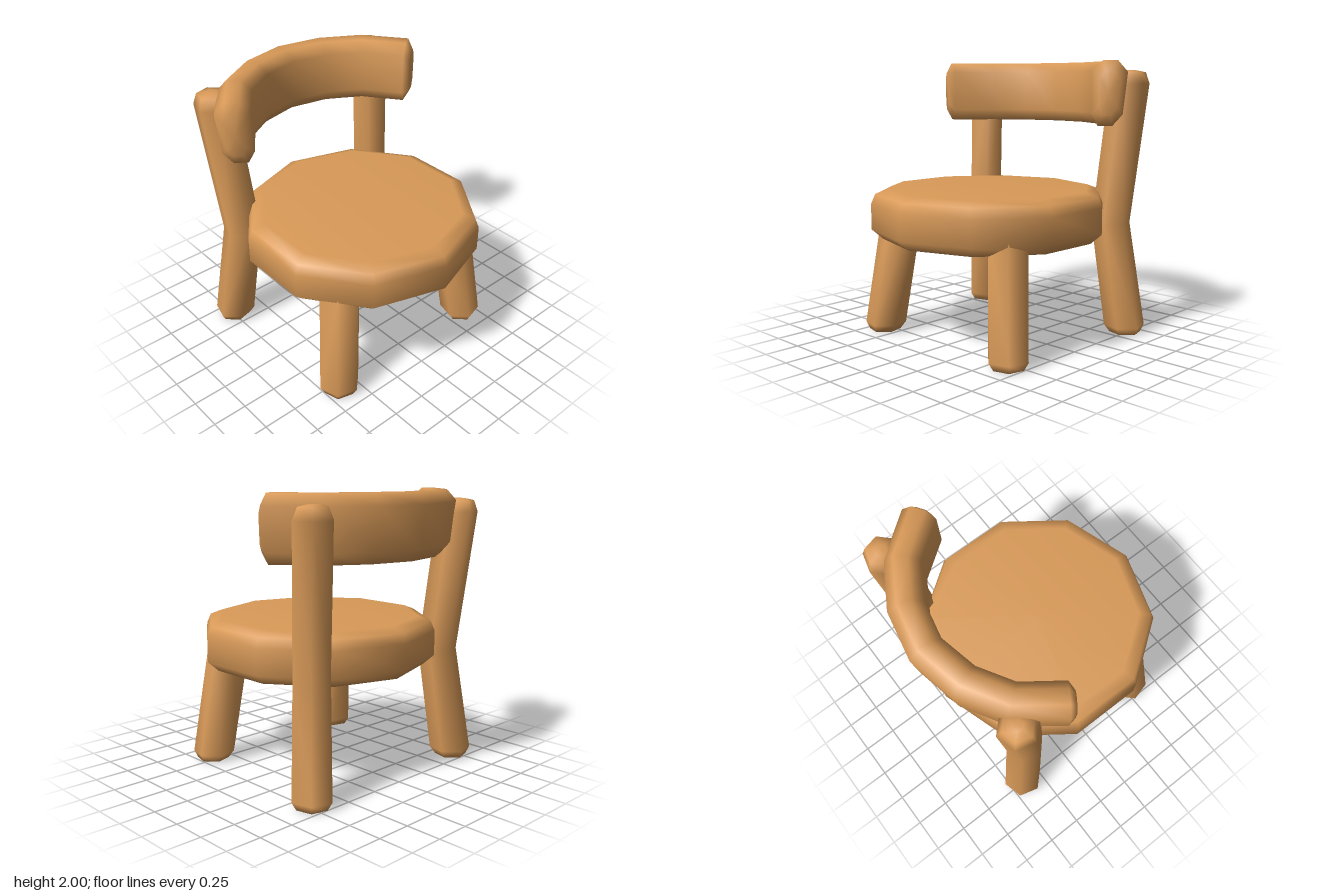
import * as THREE from 'three';

// Joins closed cross-sections into a capped, smooth-shaded solid
function loft(rings) {
  const n = rings[0].length;
  const pts = rings.flat();
  const index = [];
  for (let r = 0; r < rings.length - 1; r++) {
    for (let i = 0; i < n; i++) {
      const a = r * n + i, b = r * n + (i + 1) % n;
      index.push(a, b, b + n, a, b + n, a + n);
    }
  }
  const cap = (ring, start, flip) => {
    const c = pts.length;
    pts.push(ring.reduce((s, p) => s.add(p), new THREE.Vector3()).divideScalar(n));
    for (let i = 0; i < n; i++) {
      const a = start + i, b = start + (i + 1) % n;
      index.push(c, flip ? b : a, flip ? a : b);
    }
  };
  cap(rings[0], 0, true);
  cap(rings[rings.length - 1], (rings.length - 1) * n, false);

  // Turn the faces outward if the enclosed volume is negative
  let volume = 0;
  for (let i = 0; i < index.length; i += 3) {
    const [a, b, c] = [pts[index[i]], pts[index[i + 1]], pts[index[i + 2]]];
    volume += a.dot(b.clone().cross(c));
  }
  if (volume < 0) index.reverse();

  const geometry = new THREE.BufferGeometry().setFromPoints(pts);
  geometry.setIndex(index);
  geometry.computeVertexNormals();
  return geometry;
}

// Horizontal regular polygon; phase is measured from +x towards +z
function polygon(sides, radius, x, y, z, phase) {
  return Array.from({ length: sides }, (_, i) => {
    const a = phase + i / sides * Math.PI * 2;
    return new THREE.Vector3(x + radius * Math.cos(a), y, z + radius * Math.sin(a));
  });
}

export function createModel() {
  const wood = new THREE.MeshStandardMaterial({ color: 0xd99a58 });
  wood.name = 'warm wood';
  const group = new THREE.Group();
  group.name = 'chair';
  const add = (name, rings) => {
    const mesh = new THREE.Mesh(loft(rings), wood);
    mesh.name = name;
    group.add(mesh);
  };

  // Ten-sided seat with softened rims: [radius, height]
  const seat = [[0.78, 0.735], [0.86, 0.805], [0.86, 0.99], [0.83, 1.06], [0.74, 1.095]];
  add('seat', seat.map(([r, y]) => polygon(10, r, 0, y, 0.065, Math.PI / 2)));

  // Six-sided legs: [radius, x, y, z]
  const frontLeg = [
    [0.115, 0.635, 0, 0.55], [0.15, 0.63, 0.055, 0.545], [0.15, 0.54, 0.85, 0.455],
  ];
  const backLeg = [
    [0.115, 0.725, 0, -0.64], [0.15, 0.72, 0.055, -0.635], [0.14, 0.64, 0.83, -0.55],
    [0.145, 0.715, 1.84, -0.645], [0.11, 0.72, 1.92, -0.65], [0.04, 0.72, 1.935, -0.65],
  ];
  for (const side of [-1, 1]) {
    const label = side > 0 ? 'left' : 'right';
    const leg = (stations, phase) => stations.map(([r, x, y, z]) =>
      polygon(6, r, x, y, z, phase).map(p => p.setX(p.x * side)));
    add(label + 'FrontLeg', leg(frontLeg, Math.PI / 4));
    add(label + 'BackLeg', leg(backLeg, -Math.PI / 4));
  }

  // Curved backrest, leaning back: section is [outward offset, height]
  const section = [
    [0.12, 1.92], [0.05, 2.0], [-0.05, 2.0], [-0.12, 1.93],
    [-0.125, 1.63], [-0.08, 1.55], [0.02, 1.55], [0.09, 1.63],
  ];
  // Stations along one half: [x, z, outward x, outward z, width scale, height scale]
  const half = [
    [0.31, -0.745, 0.34, -0.94, 1, 1],
    [0.58, -0.585, 0.64, -0.77, 1, 1],
    [0.785, -0.31, 0.83, -0.56, 1, 1],
    [0.81, -0.275, 0.83, -0.56, 0.6, 0.66],
  ];
  const stations = [
    ...half.map(([x, z, nx, ...rest]) => [-x, z, -nx, ...rest]).reverse(),
    [0, -0.81, 0, -1, 1, 1],
    ...half,
  ];
  add('backrest', stations.map(([x, z, nx, nz, w, h]) => section.map(([o, y]) =>
    new THREE.Vector3(x + nx * o * w, 1.775 + (y - 1.775) * h, z + nz * o * w))));

  return group;
}
